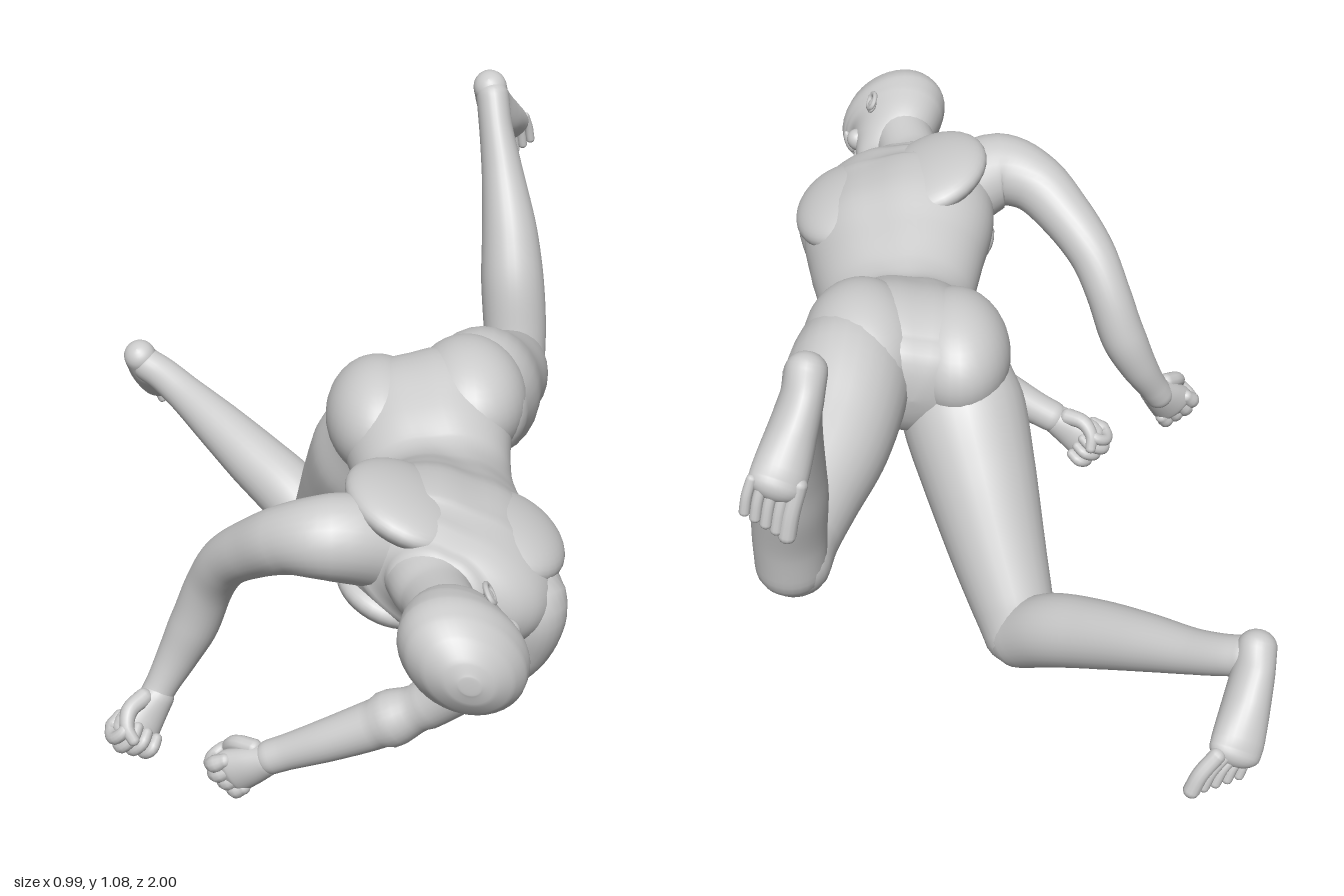
import * as THREE from 'three';

const material = new THREE.MeshStandardMaterial({ color: 0xcccccc });
const V = (a) => new THREE.Vector3(...a);

// Smooth rounded body part swept through rings [x, y, z, halfWidth, halfDepth, rollDegrees]
function sweep(name, rings, { ref = [1, 0, 0], sides = 28, steps = 6, cap = 0.9, groove = 0 } = {}) {
  const path = new THREE.CatmullRomCurve3(rings.map((r) => V(r)));
  const size = new THREE.CatmullRomCurve3(
    rings.map((r) => new THREE.Vector3(r[3], r[4] ?? r[3], THREE.MathUtils.degToRad(r[5] ?? 0))));
  const n = (rings.length - 1) * steps;
  const stations = [];
  const capSteps = 6;
  for (let k = capSteps; k > 0; k--) stations.push([0, (k / capSteps) * Math.PI / 2, -1]);
  for (let i = 0; i <= n; i++) stations.push([i / n, 0, 1]);
  for (let k = 1; k <= capSteps; k++) stations.push([1, (k / capSteps) * Math.PI / 2, 1]);

  const pos = [], index = [];
  for (const [t, bend, sign] of stations) {
    const T = path.getTangent(t), s = size.getPoint(t);
    const u = V(ref).addScaledVector(T, -V(ref).dot(T)).normalize().applyAxisAngle(T, s.z);
    const v = T.clone().cross(u);
    const c = path.getPoint(t).addScaledVector(T, sign * Math.sin(bend) * Math.min(s.x, s.y) * cap);
    const shrink = Math.max(Math.cos(bend), 0.002);
    for (let j = 0; j < sides; j++) {
      const a = (j / sides) * Math.PI * 2;
      const dent = 1 - groove * Math.exp(-(((a - Math.PI * 1.5) / 0.22) ** 2));
      const p = c.clone()
        .addScaledVector(u, Math.cos(a) * s.x * shrink)
        .addScaledVector(v, Math.sin(a) * s.y * shrink * dent);
      pos.push(p.x, p.y, p.z);
    }
  }
  for (let i = 0; i < stations.length - 1; i++) {
    for (let j = 0; j < sides; j++) {
      const a = i * sides + j, b = i * sides + (j + 1) % sides;
      index.push(a, b, a + sides, b, b + sides, a + sides);
    }
  }
  const g = new THREE.BufferGeometry();
  g.setAttribute('position', new THREE.Float32BufferAttribute(pos, 3));
  g.setIndex(index);
  g.computeVertexNormals();
  const mesh = new THREE.Mesh(g, material);
  mesh.name = name;
  return mesh;
}

function blob(name, p, radii, rot = [0, 0, 0]) {
  const m = new THREE.Mesh(new THREE.SphereGeometry(1, 32, 24), material);
  m.name = name;
  m.position.set(...p);
  m.scale.set(...radii);
  m.rotation.set(...rot);
  return m;
}

function group(name, ...parts) {
  const g = new THREE.Group();
  g.name = name;
  return g.add(...parts);
}

// Places a group so its local x, y and z follow the given axes
function orient(g, p, x, y) {
  const Y = V(y).normalize();
  const X = V(x).addScaledVector(Y, -V(x).dot(Y)).normalize();
  g.quaternion.setFromRotationMatrix(new THREE.Matrix4().makeBasis(X, Y, X.clone().cross(Y)));
  g.position.set(...p);
  return g;
}

// Head: y to the crown, z to the face, x to its left ear
function head() {
  const g = group('head', sweep('skull', [
    [0, -0.13, 0.075, 0.028, 0.024], [0, -0.112, 0.064, 0.047, 0.044], [0, -0.08, 0.036, 0.068, 0.08],
    [0, -0.04, 0.01, 0.083, 0.108], [0, -0.01, 0.002, 0.093, 0.121], [0, 0.025, 0, 0.099, 0.128],
    [0, 0.07, 0, 0.09, 0.116], [0, 0.105, 0, 0.069, 0.088], [0, 0.128, 0, 0.04, 0.051], [0, 0.136, 0, 0.019, 0.024],
  ], { cap: 0.1, sides: 40 }));
  g.add(
    sweep('nose', [[0, -0.012, 0.106, 0.008], [0, -0.04, 0.115, 0.01], [0, -0.06, 0.122, 0.013, 0.012]], { sides: 14 }),
    blob('upperLip', [0, -0.086, 0.108], [0.022, 0.005, 0.008]),
    blob('lowerLip', [0, -0.097, 0.103], [0.019, 0.006, 0.008]),
    blob('chin', [0, -0.12, 0.088], [0.026, 0.017, 0.016]));
  for (const s of [1, -1]) {
    g.add(
      blob('brow', [s * 0.034, -0.008, 0.105], [0.028, 0.009, 0.01], [0, s * 0.4, 0]),
      blob('eye', [s * 0.034, -0.028, 0.096], [0.014, 0.007, 0.008], [0, s * 0.4, 0]),
      blob('cheek', [s * 0.045, -0.055, 0.072], [0.026, 0.024, 0.024]),
      blob('earLobe', [s * 0.087, -0.045, -0.004], [0.008, 0.024, 0.015], [0, s * -0.3, 0]));
    const rim = new THREE.Mesh(new THREE.TorusGeometry(0.015, 0.0055, 8, 24), material);
    rim.name = 'earRim';
    rim.position.set(s * 0.094, -0.04, -0.01);
    rim.rotation.y = Math.PI / 2 - s * 0.35;
    rim.scale.y = 1.6;
    g.add(rim);
  }
  return g;
}

// Fist: y along the forearm, z to the back of the hand, thumb on the given side
function fist(name, thumb) {
  const g = group(name, sweep('palm', [
    [0, -0.015, 0, 0.034, 0.032], [0, 0.025, -0.004, 0.043, 0.032], [0, 0.06, -0.01, 0.049, 0.032],
    [0, 0.075, -0.012, 0.047, 0.026],
  ]));
  for (let i = 0; i < 4; i++) {
    const x = thumb * (0.036 - i * 0.024), k = 1 - 0.07 * Math.abs(i - 1);
    g.add(sweep('finger', [
      [x, 0.06, 0.004, 0.0145], [x, 0.1 * k, -0.004, 0.0145], [x, 0.103 * k, -0.034, 0.0135],
      [x, 0.072, -0.05, 0.0125], [x, 0.052, -0.038, 0.0115],
    ], { sides: 12, steps: 4 }));
  }
  g.add(sweep('thumb', [
    [thumb * 0.028, 0.0, -0.012, 0.019], [thumb * 0.044, 0.034, -0.03, 0.017],
    [thumb * 0.034, 0.062, -0.048, 0.014], [thumb * 0.012, 0.074, -0.06, 0.012],
  ], { sides: 12, steps: 4 }));
  return g;
}

// Foot with five curled toes fanned across the ball; inner is the big toe side
function foot(name, rings, across, toeRoot, toeDir, inner) {
  const g = group(name, sweep('footBody', rings, { ref: across }));
  const A = V(across).normalize();
  for (let i = 0; i < 5; i++) {
    const root = V(toeRoot).addScaledVector(A, inner * (0.04 - i * 0.02));
    const r = i === 0 ? 0.016 : 0.012 - i * 0.0006, length = 1 - i * 0.09;
    const at = (t, lift) => root.clone().addScaledVector(V(toeDir), t * length).add(new THREE.Vector3(0, lift, 0)).toArray();
    g.add(sweep('toe', [[...at(-0.3, 0), r], [...at(0.45, 0.01), r], [...at(0.85, 0), r]], { ref: across, sides: 12, steps: 4 }));
  }
  return g;
}

export function createModel() {
  const model = group('figure');

  // Torso, twisted between shoulders and pelvis
  const tilt = [0, 0, -0.38];
  model.add(group('torso',
    sweep('trunk', [
      [0.14, 0.62, 0.65, 0.1, 0.075, 22], [0.155, 0.61, 0.61, 0.175, 0.108, 22], [0.17, 0.593, 0.55, 0.208, 0.137, 22],
      [0.175, 0.58, 0.45, 0.212, 0.153, 22], [0.185, 0.555, 0.32, 0.186, 0.14, 17], [0.19, 0.536, 0.2, 0.16, 0.125, 8],
      [0.185, 0.543, 0.1, 0.156, 0.122, -2], [0.18, 0.578, 0, 0.172, 0.14, -9], [0.18, 0.6, -0.09, 0.19, 0.142, -12],
      [0.18, 0.59, -0.17, 0.16, 0.115, -13],
    ], { sides: 56, cap: 0.5, groove: 0.05 }),
    blob('rightShoulderBlade', [0.1, 0.7, 0.48], [0.125, 0.05, 0.15], tilt),
    blob('leftShoulderBlade', [0.292, 0.63, 0.48], [0.11, 0.055, 0.15], tilt),
    blob('rightChest', [0.06, 0.522, 0.48], [0.1, 0.045, 0.12], tilt),
    blob('leftChest', [0.214, 0.46, 0.48], [0.1, 0.045, 0.12], tilt),
    blob('rightButtock', [0.085, 0.605, -0.085], [0.11, 0.12, 0.16]),
    blob('leftButtock', [0.27, 0.638, -0.095], [0.12, 0.122, 0.165])));

  // Neck and head, face turned down and to its left
  model.add(
    sweep('neck', [[0.14, 0.62, 0.56, 0.11, 0.09], [0.13, 0.62, 0.64, 0.078, 0.068],
      [0.138, 0.622, 0.7, 0.067, 0.062], [0.15, 0.63, 0.79, 0.066]]),
    orient(head(), [0.167, 0.625, 0.862], [0.62, 0.78, 0], [0, 0, 1]));

  // Arms
  model.add(
    group('rightArm',
      sweep('rightArmLength', [
        [0.04, 0.645, 0.51, 0.09], [-0.05, 0.67, 0.54, 0.084, 0.081], [-0.12, 0.655, 0.515, 0.068],
        [-0.185, 0.605, 0.455, 0.058], [-0.24, 0.54, 0.39, 0.051], [-0.272, 0.465, 0.347, 0.048],
        [-0.303, 0.37, 0.325, 0.049], [-0.34, 0.29, 0.322, 0.041], [-0.373, 0.23, 0.332, 0.033], [-0.39, 0.2, 0.34, 0.032],
      ], { ref: [0, 0, 1] }),
      orient(fist('rightFist', -1), [-0.39, 0.2, 0.345], [0.7, -0.6, -0.1], [-0.07, -0.085, 0.03])),
    group('leftArm',
      sweep('leftArmLength', [
        [0.26, 0.57, 0.5, 0.095], [0.312, 0.54, 0.572, 0.081], [0.307, 0.468, 0.57, 0.07], [0.258, 0.39, 0.55, 0.06],
        [0.198, 0.325, 0.52, 0.053], [0.138, 0.27, 0.495, 0.05], [0.05, 0.215, 0.47, 0.05],
        [-0.05, 0.162, 0.445, 0.043], [-0.13, 0.12, 0.42, 0.036], [-0.16, 0.105, 0.412, 0.035],
      ], { ref: [0, 0, 1] }),
      orient(fist('leftFist', 1), [-0.182, 0.09, 0.407], [-0.45, 0.8, -0.05], [-0.1, -0.06, -0.02])));

  // Right leg, thigh drawn down under the hip
  model.add(group('rightLeg',
    sweep('rightThigh', [
      [0.09, 0.575, -0.07, 0.105], [0.072, 0.49, -0.14, 0.126, 0.132], [0.045, 0.385, -0.225, 0.114, 0.122],
      [0.015, 0.27, -0.315, 0.096, 0.104], [-0.008, 0.19, -0.38, 0.082, 0.088], [-0.018, 0.148, -0.415, 0.072, 0.075],
    ]),
    sweep('rightCalf', [
      [-0.02, 0.15, -0.425, 0.068], [-0.08, 0.207, -0.49, 0.073], [-0.16, 0.256, -0.572, 0.067], [-0.24, 0.302, -0.66, 0.056],
      [-0.32, 0.345, -0.748, 0.043], [-0.37, 0.372, -0.795, 0.039], [-0.4, 0.385, -0.815, 0.038],
    ], { ref: [0, 1, 0] }),
    foot('rightFoot', [
      [-0.42, 0.408, -0.82, 0.037, 0.038], [-0.41, 0.372, -0.848, 0.039, 0.05], [-0.393, 0.332, -0.89, 0.044, 0.05],
      [-0.373, 0.289, -0.938, 0.05, 0.037], [-0.366, 0.275, -0.952, 0.05, 0.031],
    ], [1, 0.1, -0.25], [-0.357, 0.262, -0.965], [0.04, -0.058, -0.012], 1)));

  // Left leg, shin raised behind
  model.add(group('leftLeg',
    sweep('leftThigh', [
      [0.285, 0.625, -0.06, 0.105], [0.305, 0.605, -0.18, 0.124, 0.137], [0.34, 0.56, -0.32, 0.114, 0.117],
      [0.385, 0.518, -0.44, 0.096, 0.1], [0.412, 0.489, -0.53, 0.08, 0.088], [0.42, 0.478, -0.585, 0.072, 0.078],
    ]),
    sweep('leftCalf', [
      [0.425, 0.475, -0.588, 0.068], [0.425, 0.56, -0.605, 0.07, 0.07], [0.42, 0.66, -0.633, 0.07, 0.078],
      [0.415, 0.76, -0.672, 0.062, 0.07], [0.402, 0.88, -0.732, 0.046, 0.055], [0.39, 0.97, -0.778, 0.037, 0.048],
      [0.385, 1.03, -0.81, 0.036, 0.044],
    ]),
    foot('leftFoot', [
      [0.38, 1.048, -0.82, 0.037, 0.04], [0.39, 1.01, -0.85, 0.038, 0.054], [0.41, 0.962, -0.888, 0.044, 0.054],
      [0.43, 0.922, -0.934, 0.05, 0.04], [0.437, 0.908, -0.948, 0.05, 0.034],
    ], [1, 0.35, 0], [0.444, 0.897, -0.96], [0.02, -0.08, -0.012], -1)));

  return model;
}
